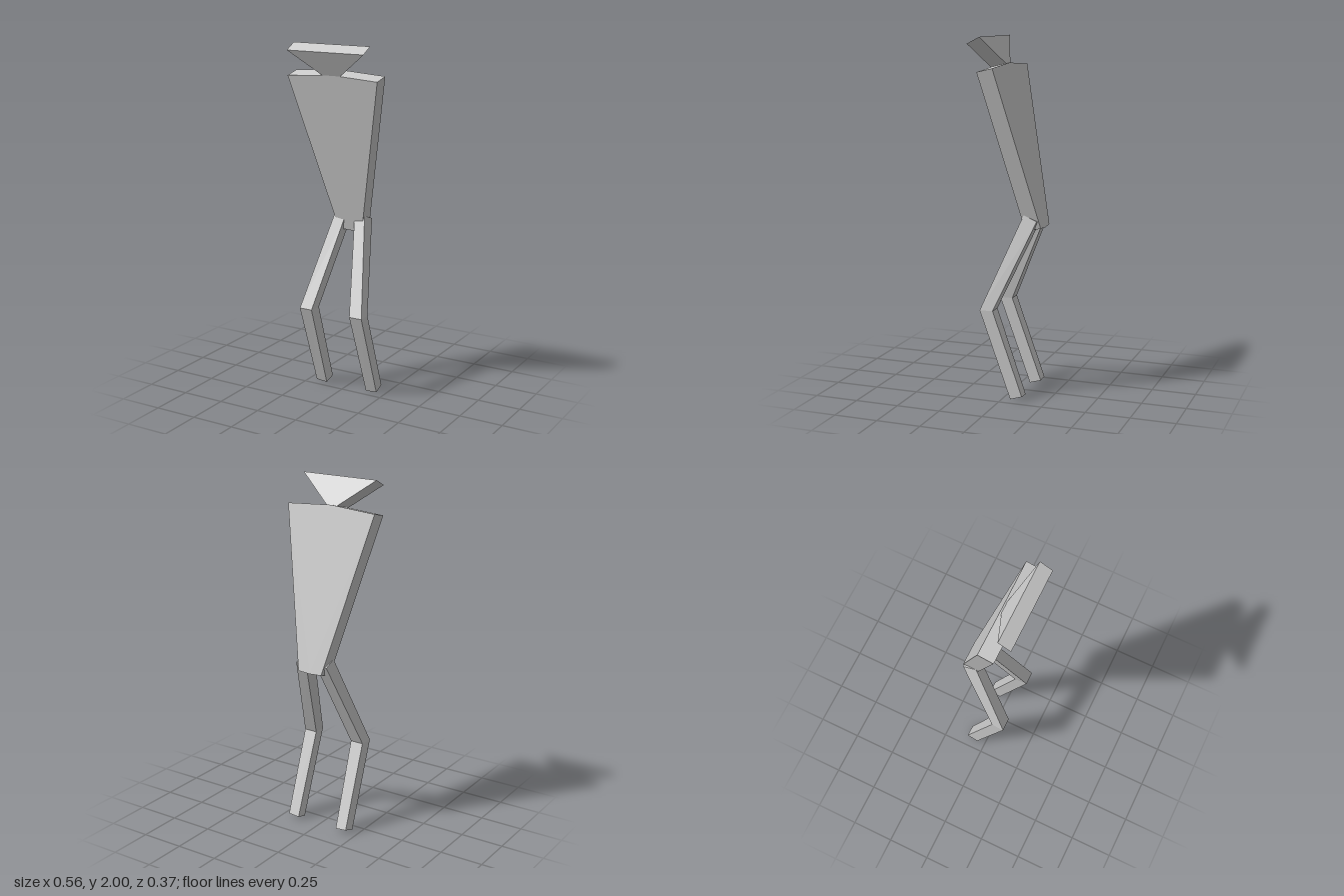
import * as THREE from 'three';

const material = new THREE.MeshStandardMaterial({ color: 0xcccccc, flatShading: true });

// Flat slab from an outline, leaning forward; its back bottom edge sits at (y, z).
function slab(name, outline, depth, lean, y, z) {
  const shape = new THREE.Shape(outline.map(([px, py]) => new THREE.Vector2(px, py)));
  const geometry = new THREE.ExtrudeGeometry(shape, { depth, bevelEnabled: false });
  const mesh = new THREE.Mesh(geometry, material);
  mesh.name = name;
  mesh.rotation.x = lean;
  mesh.position.set(0, y, z);
  return mesh;
}

// Closed four-sided limb running down through rings of corners.
function limb(rings) {
  const positions = [];
  const quad = (a, b, c, d) => positions.push(...a, ...b, ...c, ...a, ...c, ...d);
  for (let i = 0; i < rings.length - 1; i++) {
    const top = rings[i], bottom = rings[i + 1];
    for (let j = 0; j < 4; j++) {
      const k = (j + 1) % 4;
      quad(top[j], top[k], bottom[k], bottom[j]);
    }
  }
  const first = rings[0], last = rings[rings.length - 1];
  quad(first[0], first[3], first[2], first[1]);
  quad(last[0], last[1], last[2], last[3]);
  const geometry = new THREE.BufferGeometry();
  geometry.setAttribute('position', new THREE.Float32BufferAttribute(positions, 3));
  geometry.computeVertexNormals();
  return geometry;
}

// Corners: front outer, front inner, back inner, back outer.
const hip = [[0.095, 1.03, -0.09], [0.03, 1.015, -0.09], [0.035, 0.99, -0.165], [0.1, 1.0, -0.168]];
const knee = [[0.2, 0.5, 0.13], [0.123, 0.5, 0.13], [0.12, 0.5, 0.055], [0.197, 0.5, 0.055]];
const ankle = [[0.2, 0.005, -0.05], [0.132, 0, -0.05], [0.13, 0.02, -0.117], [0.197, 0.025, -0.117]];

export function createModel() {
  const group = new THREE.Group();
  group.name = 'figure';

  // Tapered torso with a shallow peak at the neck
  group.add(slab('torso', [
    [0, 0], [0.075, 0.005], [0.278, 0.908], [0, 0.927], [-0.278, 0.908], [-0.075, 0.005],
  ], 0.091, THREE.MathUtils.degToRad(13.1), 0.953, -0.184));

  // Wedge-shaped head balanced on its tip
  group.add(slab('head', [
    [-0.02, 0], [0.02, 0], [0.235, 0.178], [-0.235, 0.178],
  ], 0.08, THREE.MathUtils.degToRad(27.5), 1.842, 0.029));

  // Mirrored bent legs
  for (const side of [1, -1]) {
    const rings = [hip, knee, ankle].map((ring) => {
      const corners = ring.map(([x, y, z]) => [x * side, y, z]);
      return side > 0 ? corners : corners.reverse();
    });
    const leg = new THREE.Mesh(limb(rings), material);
    leg.name = side > 0 ? 'leftLeg' : 'rightLeg';
    group.add(leg);
  }
  return group;
}
